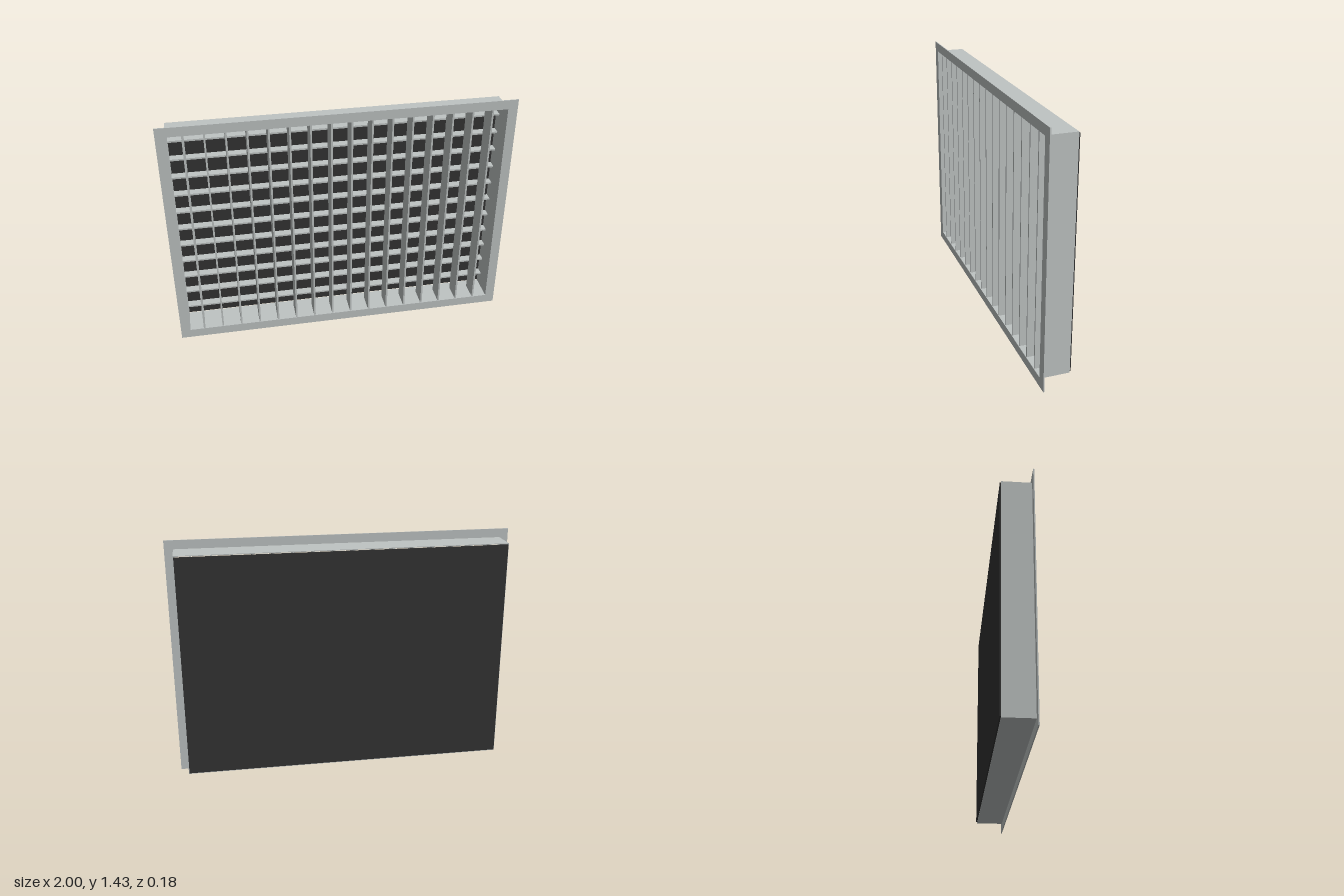
import * as THREE from 'three';

const metal = new THREE.MeshStandardMaterial({ color: 0xbfc4c3 });
metal.name = 'galvanised grey';
const dark = new THREE.MeshStandardMaterial({ color: 0x333333 });
dark.name = 'dark backing';

const MID = 0.715; // height of the centre line

// Rectangular ring of given outer and inner half sizes, from z0 to z1
function ring(name, ow, oh, iw, ih, z0, z1) {
  const rect = (C, w, h) => new C([[-w, -h], [w, -h], [w, h], [-w, h]].map(p => new THREE.Vector2(...p)));
  const shape = rect(THREE.Shape, ow, oh);
  shape.holes.push(rect(THREE.Path, iw, ih));
  const geo = new THREE.ExtrudeGeometry(shape, { depth: z1 - z0, bevelEnabled: false });
  const mesh = new THREE.Mesh(geo, metal);
  mesh.name = name;
  mesh.position.set(0, MID, z0);
  return mesh;
}

function box(name, w, h, d, x, y, z, material) {
  const mesh = new THREE.Mesh(new THREE.BoxGeometry(w, h, d), material);
  mesh.name = name;
  mesh.position.set(x, y, z);
  return mesh;
}

export function createModel() {
  const model = new THREE.Group();
  model.name = 'ventilationGrille';

  // Face flange and the duct collar behind it
  model.add(ring('flange', 1, 0.715, 0.944, 0.66, 0.082, 0.088));
  model.add(ring('collar', 0.949, 0.664, 0.944, 0.66, -0.081, 0.082));

  // Dark panel closing the back
  model.add(box('backPanel', 1.89, 1.314, 0.007, 0, MID, -0.0845, dark));

  // Upright blades in front
  const uprights = new THREE.Group();
  uprights.name = 'verticalBlades';
  const pitch = 0.1144;
  for (let i = 0; i < 16; i++) {
    uprights.add(box('verticalBlade', 0.01, 1.32, 0.112, (i - 7.5) * pitch, MID, 0.028, metal));
  }
  model.add(uprights);

  // Level blades behind them
  const levels = new THREE.Group();
  levels.name = 'horizontalBlades';
  for (let i = 0; i < 11; i++) {
    levels.add(box('horizontalBlade', 1.888, 0.01, 0.048, 0, MID + (i - 5) * pitch, -0.054, metal));
  }
  model.add(levels);

  return model;
}
